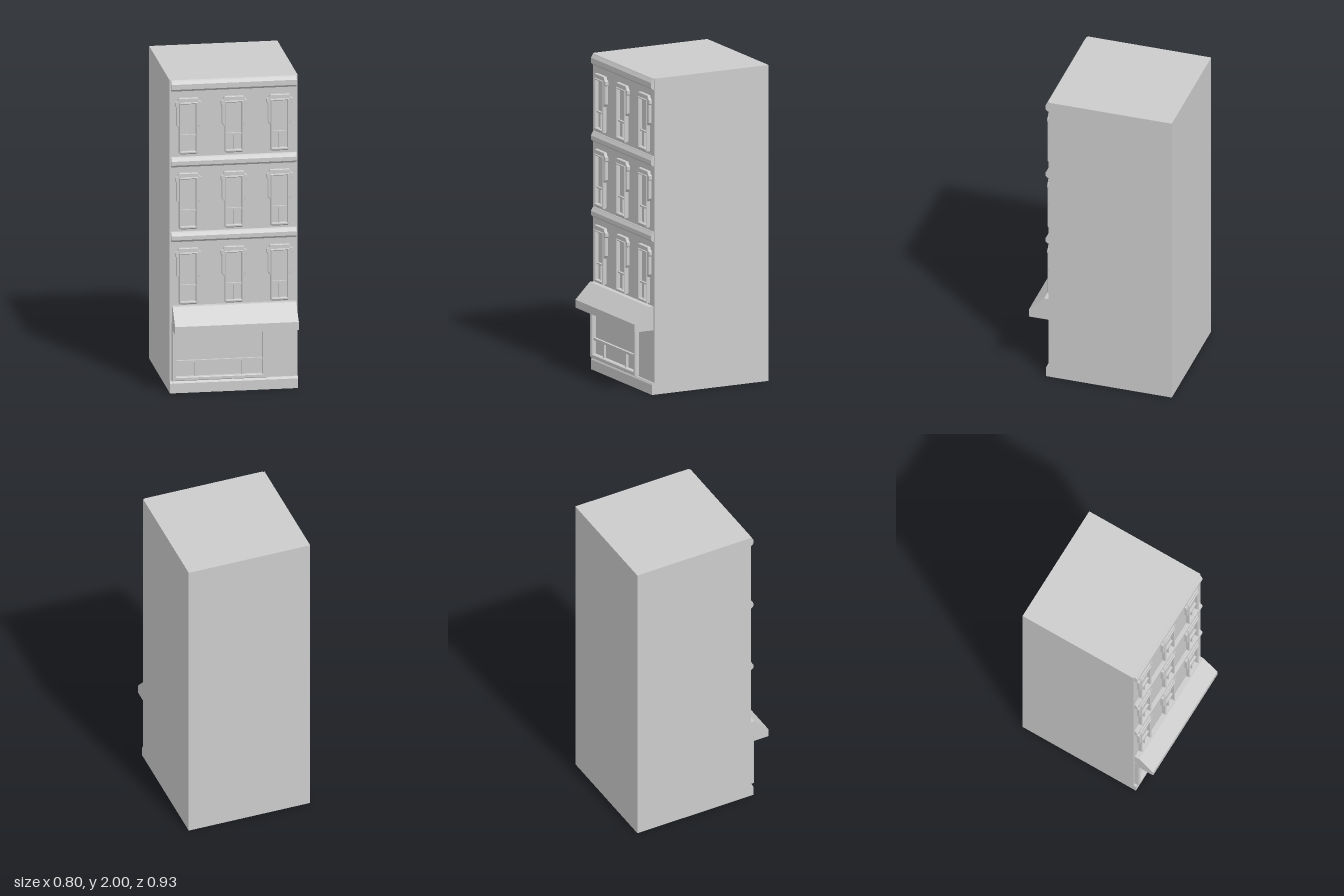
import * as THREE from 'three';

const mat = new THREE.MeshStandardMaterial({ color: 0xcccccc, flatShading: true });
const thinMat = new THREE.MeshStandardMaterial({ color: 0xcccccc, flatShading: true, side: THREE.DoubleSide });
const WALL = 0.333; // z of the facade

function add(parent, name, geometry, material = mat) {
  const mesh = new THREE.Mesh(geometry, material);
  mesh.name = name;
  parent.add(mesh);
  return mesh;
}

// box given by its limits
function block(parent, name, x0, x1, y0, y1, z0, z1) {
  const mesh = add(parent, name, new THREE.BoxGeometry(x1 - x0, y1 - y0, z1 - z0));
  mesh.position.set((x0 + x1) / 2, (y0 + y1) / 2, (z0 + z1) / 2);
  return mesh;
}

// side profile of [z, y] points swept along x
function sweep(parent, name, profile, halfWidth) {
  const shape = new THREE.Shape(profile.map(([z, y]) => new THREE.Vector2(-z, y)));
  const g = new THREE.ExtrudeGeometry(shape, { depth: halfWidth * 2, bevelEnabled: false });
  g.translate(0, 0, -halfWidth);
  g.rotateY(Math.PI / 2);
  return add(parent, name, g);
}

// rectangular ring with bevelled edges, standing on the facade
function ring(parent, name, x0, x1, y0, y1, t, depth) {
  const rect = (C, a, b, c, d) => new C([[a, c], [b, c], [b, d], [a, d]].map(p => new THREE.Vector2(...p)));
  const shape = rect(THREE.Shape, x0, x1, y0, y1);
  shape.holes.push(rect(THREE.Path, x0 + t, x1 - t, y0 + t, y1 - t));
  return raised(parent, name, shape, depth, 0.004);
}

function raised(parent, name, shape, depth, bevel) {
  const g = new THREE.ExtrudeGeometry(shape, {
    depth: depth - bevel, bevelThickness: bevel, bevelSize: bevel, bevelOffset: -bevel, bevelSegments: 1,
  });
  g.translate(0, 0, WALL);
  return add(parent, name, g);
}

function makeWindow() {
  const w = new THREE.Group();
  w.name = 'window';
  ring(w, 'windowFrame', -0.058, 0.058, 0.003, 0.328, 0.011, 0.026);
  block(w, 'meetingRail', -0.048, 0.048, 0.11, 0.12, WALL - 0.005, WALL + 0.014);
  block(w, 'lowerMullion', -0.004, 0.004, 0.012, 0.112, WALL - 0.005, WALL + 0.012);
  sweep(w, 'sill', [[WALL, -0.003], [0.352, -0.003], [0.36, 0.005], [0.36, 0.012], [WALL, 0.012]], 0.05);
  // hood: stepped head with two short legs
  const half = [[0.054, 0.165], [0.06, 0.165], [0.075, 0.183], [0.075, 0.298], [0.082, 0.305], [0.082, 0.328], [0.067, 0.338], [0.06, 0.355]];
  const outline = [...half, ...half.slice().reverse().map(([x, y]) => [-x, y]), [-0.054, 0.325], [0.054, 0.325]];
  raised(w, 'windowHood', new THREE.Shape(outline.map(p => new THREE.Vector2(...p))), 0.02, 0.003);
  return w;
}

export function createModel() {
  const model = new THREE.Group();
  model.name = 'townBuilding';

  block(model, 'walls', -0.4, 0.4, 0, 2, -0.465, WALL);

  // plinth with a sloped top edge
  sweep(model, 'plinth', [[WALL - 0.01, 0], [0.35, 0], [0.35, 0.062], [0.343, 0.075], [WALL - 0.01, 0.075]], 0.4);

  // cornices above each floor
  for (const y of [0.965, 1.443, 1.928]) {
    const h = y > 1.9 ? 0.072 : 0.065;
    sweep(model, 'cornice', [
      [WALL, y], [0.34, y], [0.354, y + 0.014], [0.354, y + h - 0.026], [0.343, y + h - 0.008], [0.339, y + h], [WALL, y + h],
    ], 0.391);
  }

  // three floors of three windows
  for (const y of [0.57, 1.05, 1.53]) {
    for (const x of [-0.285, 0, 0.285]) {
      const w = makeWindow();
      w.position.set(x, y, 0);
      model.add(w);
    }
  }

  // shop window
  const shop = new THREE.Group();
  shop.name = 'shopWindow';
  model.add(shop);
  ring(shop, 'shopFrame', -0.387, 0.2, 0.08, 0.45, 0.024, 0.03);
  block(shop, 'shopRail', -0.365, 0.178, 0.191, 0.206, WALL - 0.005, 0.35);
  for (const x of [-0.237, 0.052]) block(shop, 'shopMullion', x - 0.006, x + 0.006, 0.1, 0.195, WALL - 0.005, 0.348);

  // awning, open underneath: top strip, slope, valance and two ends
  const awning = new THREE.Group();
  awning.name = 'awning';
  model.add(awning);
  const section = [[WALL, 0.557], [0.365, 0.557], [0.465, 0.455], [0.465, 0.405]];
  const X = 0.386;
  const pos = [], index = [];
  section.forEach(([z, y], i) => {
    pos.push(-X, y, z, X, y, z);
    if (i) {
      const a = 2 * i - 2;
      index.push(a, a + 2, a + 3, a, a + 3, a + 1);
    }
  });
  const cover = new THREE.BufferGeometry();
  cover.setAttribute('position', new THREE.Float32BufferAttribute(pos, 3));
  cover.setIndex(index);
  cover.computeVertexNormals();
  add(awning, 'awningCover', cover, thinMat);
  const endShape = new THREE.Shape([...section, [WALL, 0.405]].map(([z, y]) => new THREE.Vector2(-z, y)));
  for (const s of [-1, 1]) {
    const end = add(awning, 'awningEnd', new THREE.ShapeGeometry(endShape), thinMat);
    end.rotation.y = Math.PI / 2;
    end.position.x = s * X;
  }

  return model;
}
